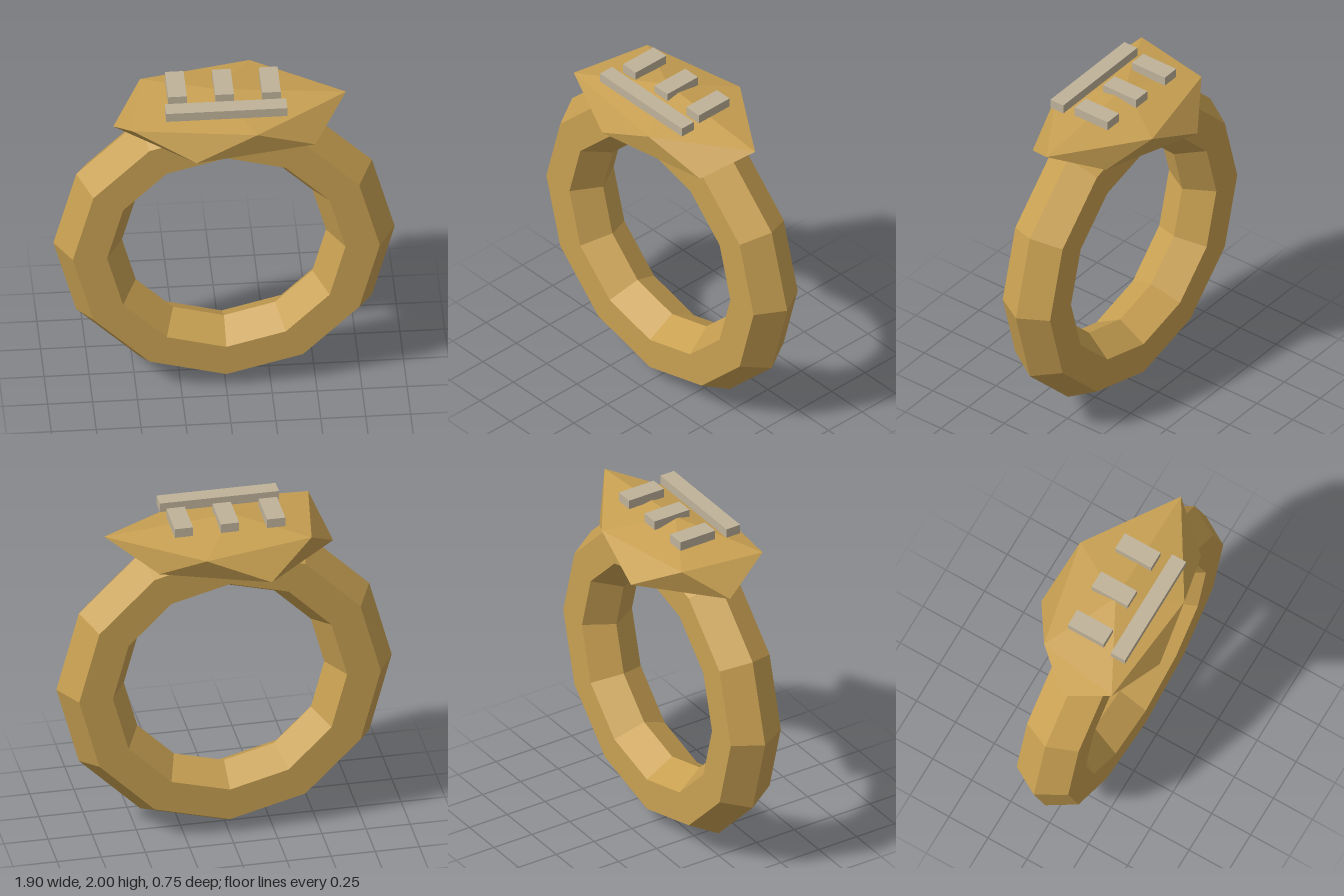
import * as THREE from 'three';

export function createModel() {
  const group = new THREE.Group();
  const gold = new THREE.MeshStandardMaterial({ color: 0xc8a052, flatShading: true });
  gold.name = 'gold';
  const silver = new THREE.MeshStandardMaterial({ color: 0xbfb299, flatShading: true });
  silver.name = 'paleSilver';

  const add = (name, geometry, material, x = 0, y = 0, z = 0) => {
    const mesh = new THREE.Mesh(geometry, material);
    mesh.name = name;
    mesh.position.set(x, y, z);
    group.add(mesh);
  };

  // Twelve-sided band with a hexagonal section
  add('band', new THREE.TorusGeometry(0.759, 0.191, 6, 12), gold, 0, 0.955, 0.015);

  // Rough faceted head: two staggered rings of five corners between two tips
  const top = [-0.04, 1.975, 0.01];
  const bottom = [-0.05, 1.65, 0];
  const upper = [
    [0.68, 1.913, 0.01], [0.16, 1.89, 0.335], [-0.53, 1.91, 0.27],
    [-0.45, 1.9, -0.21], [0.17, 1.895, -0.34],
  ];
  const lower = [
    [0.49, 1.74, 0.25], [-0.18, 1.745, 0.375], [-0.615, 1.74, 0],
    [-0.19, 1.74, -0.38], [0.41, 1.76, -0.2],
  ];
  const corners = [];
  for (let i = 0; i < 5; i++) {
    const j = (i + 1) % 5;
    corners.push(
      top, upper[j], upper[i],
      upper[i], upper[j], lower[i],
      lower[i], upper[j], lower[j],
      bottom, lower[i], lower[j],
    );
  }
  const head = new THREE.BufferGeometry();
  head.setAttribute('position', new THREE.Float32BufferAttribute(corners.flat(), 3));
  head.computeVertexNormals();
  add('head', head, gold);

  // Raised inlay: one long bar in front of three short ones
  add('longBar', new THREE.BoxGeometry(0.675, 0.055, 0.09), silver, -0.003, 1.9725, 0.2);
  for (const x of [-0.265, -0.003, 0.258]) {
    add('shortBar', new THREE.BoxGeometry(0.104, 0.055, 0.23), silver, x, 1.9725, -0.02);
  }

  return group;
}
